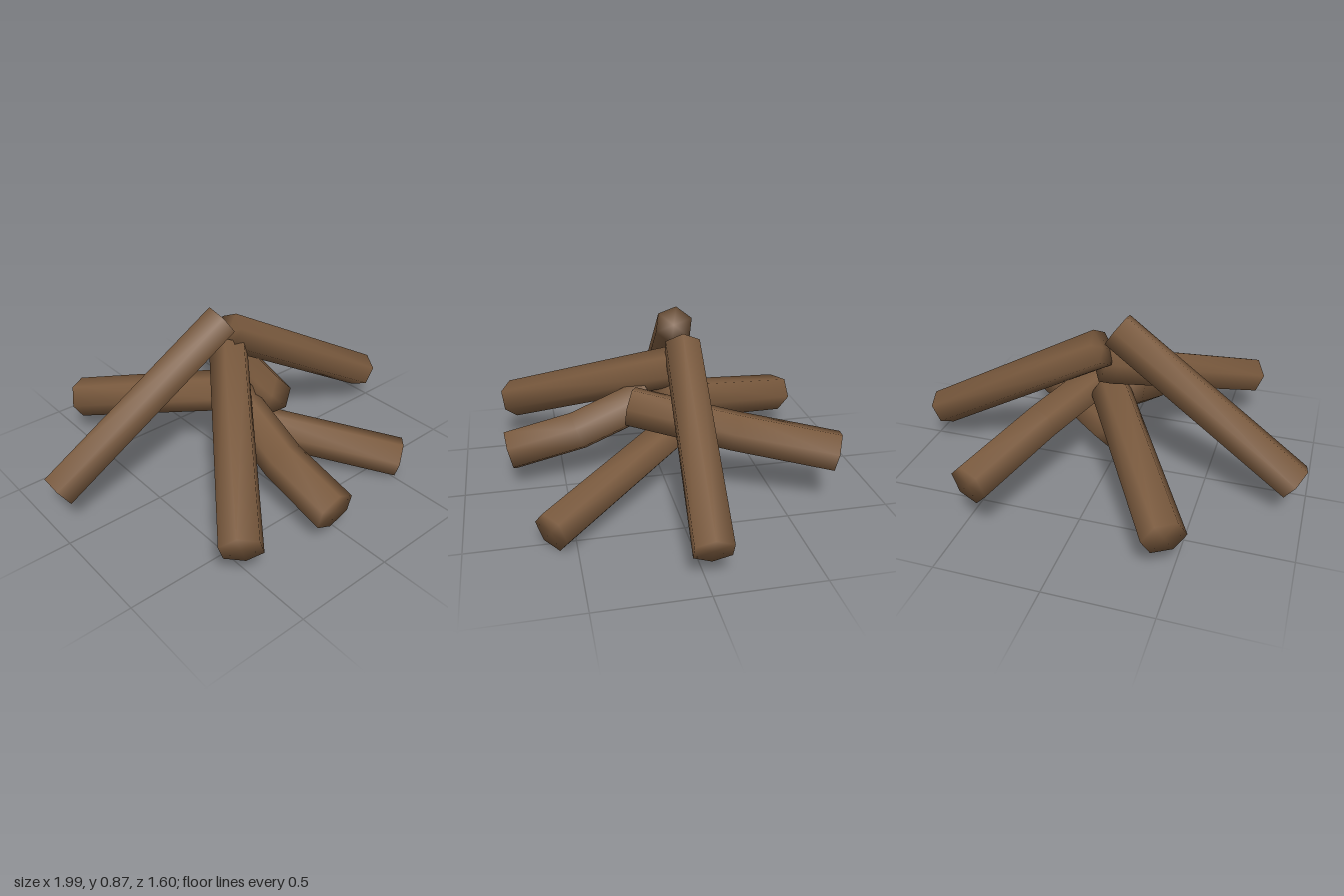
import * as THREE from 'three';

const SIDES = 6;

// Smooth-shaded hexagonal log swept through a few centre points, closed at both ends
function logGeometry(points, radius, turn) {
  const path = points.map((p) => new THREE.Vector3(...p));
  const last = path.length - 1;
  const pos = [];
  const index = [];
  const up = new THREE.Vector3(0, 1, 0);
  path.forEach((p, i) => {
    const dir = path[Math.min(i + 1, last)].clone().sub(path[Math.max(i - 1, 0)]).normalize();
    const side = new THREE.Vector3().crossVectors(up, dir).normalize();
    const top = new THREE.Vector3().crossVectors(dir, side);
    for (let k = 0; k < SIDES; k++) {
      const a = turn + (k / SIDES) * Math.PI * 2;
      const v = p.clone().addScaledVector(side, Math.cos(a) * radius).addScaledVector(top, Math.sin(a) * radius);
      pos.push(v.x, v.y, v.z);
    }
  });
  // Bark
  for (let i = 0; i < last; i++) {
    for (let k = 0; k < SIDES; k++) {
      const a = i * SIDES + k;
      const b = i * SIDES + ((k + 1) % SIDES);
      index.push(a, b, b + SIDES, a, b + SIDES, a + SIDES);
    }
  }
  // Cut ends
  const start = pos.length / 3;
  pos.push(...path[0].toArray(), ...path[last].toArray());
  for (let k = 0; k < SIDES; k++) {
    const n = (k + 1) % SIDES;
    index.push(start, n, k, start + 1, last * SIDES + k, last * SIDES + n);
  }
  const geo = new THREE.BufferGeometry();
  geo.setAttribute('position', new THREE.Float32BufferAttribute(pos, 3));
  geo.setIndex(index);
  geo.computeVertexNormals();
  return geo;
}

export function createModel() {
  const model = new THREE.Group();
  model.name = 'logPile';
  const wood = new THREE.MeshStandardMaterial({ color: 0x7a5a3e });
  wood.name = 'brown wood';

  // Each log runs from its outer foot to its end in the middle of the pile
  const logs = [
    { name: 'rightLog', r: 0.095, turn: 0.35, pts: [[-0.945, 0.185, -0.155], [-0.05, 0.8, -0.065]] },
    { name: 'leftLog', r: 0.095, turn: 0.5, pts: [[0.945, 0.18, -0.015], [0.015, 0.71, -0.092]] },
    { name: 'frontRightLog', r: 0.1, turn: 0.3, pts: [[-0.6, 0.245, 0.73], [0.0, 0.61, -0.07]] },
    { name: 'frontLog', r: 0.105, turn: 0.5, pts: [[-0.085, 0.185, 0.765], [-0.08, 0.265, 0.42], [-0.065, 0.43, 0.05]] },
    { name: 'frontLeftLog', r: 0.098, turn: 0.2, pts: [[0.55, 0.095, 0.61], [-0.02, 0.245, -0.05]] },
    { name: 'backRightLog', r: 0.103, turn: 0, pts: [[-0.465, 0.21, -0.755], [0.0, 0.43, 0.0]] },
    { name: 'backLeftLog', r: 0.1, turn: 0.25, pts: [[0.425, 0.285, -0.755], [0.27, 0.36, -0.3], [0.07, 0.445, 0.175]] },
  ];
  for (const { name, r, turn, pts } of logs) {
    const mesh = new THREE.Mesh(logGeometry(pts, r, turn), wood);
    mesh.name = name;
    model.add(mesh);
  }
  return model;
}
